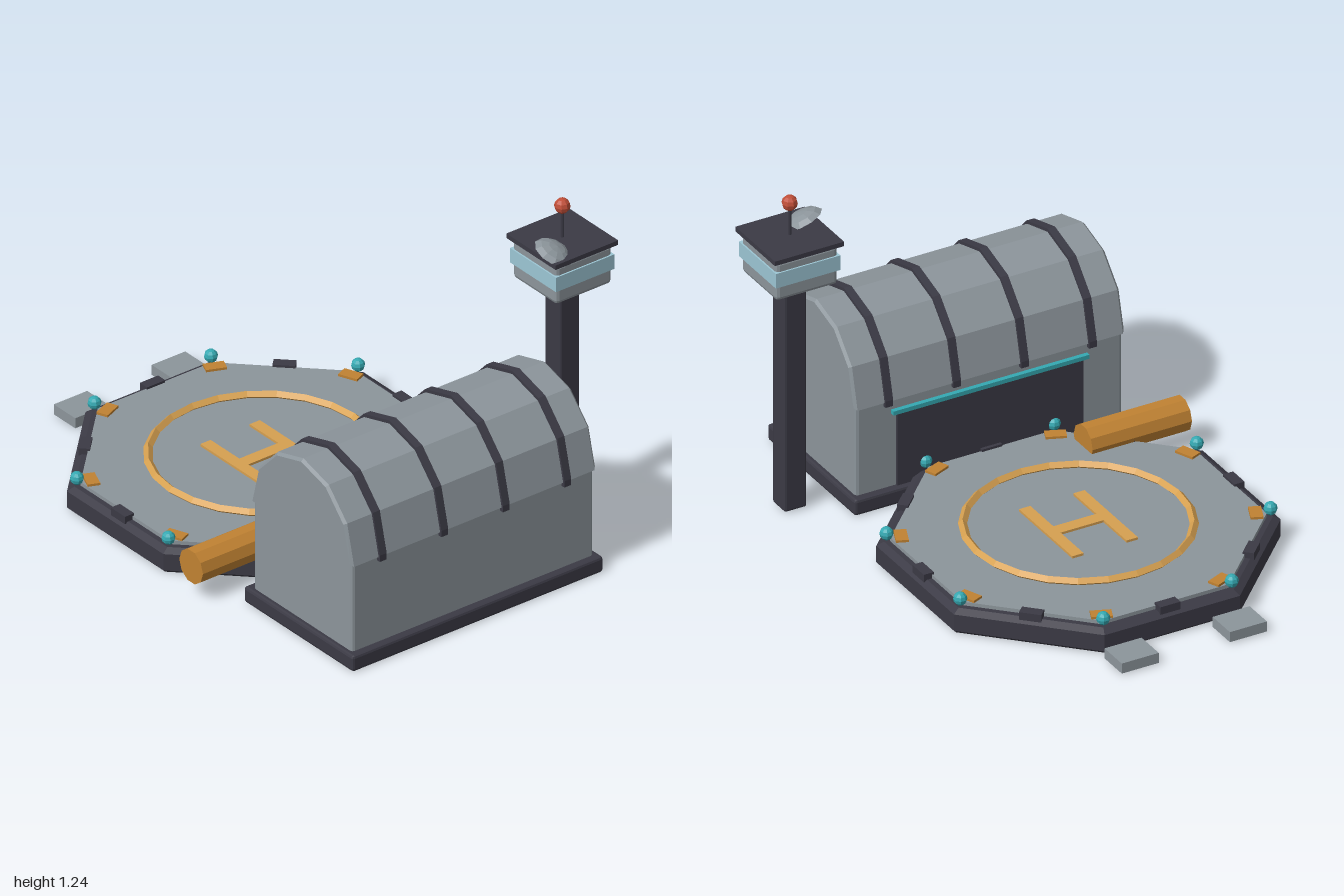
import * as THREE from 'three';
import { RoundedBoxGeometry } from 'three/addons/geometries/RoundedBoxGeometry.js';

const material = (name, color) => {
  const m = new THREE.MeshStandardMaterial({ color });
  m.name = name;
  return m;
};

export function createModel() {
  const grey = material('panelGrey', 0x8c959b);
  const dark = material('darkMetal', 0x3b3a45);
  const amber = material('markingAmber', 0xd6a050);
  const orange = material('tankOrange', 0xc08232);
  const teal = material('lightTeal', 0x35a9b2);
  const glass = material('windowBlue', 0x9cc6d4);
  const red = material('beaconRed', 0xc04e38);

  const model = new THREE.Group();
  model.name = 'landingBase';

  // Adds a faceted mesh to a parent
  const add = (parent, name, geometry, mat, x = 0, y = 0, z = 0) => {
    const g = geometry.index ? geometry.toNonIndexed() : geometry;
    g.computeVertexNormals();
    const mesh = new THREE.Mesh(g, mat);
    mesh.name = name;
    mesh.position.set(x, y, z);
    parent.add(mesh);
    return mesh;
  };
  const box = (w, h, d) => new THREE.BoxGeometry(w, h, d);
  const chamferBox = (w, h, d, r) => new RoundedBoxGeometry(w, h, d, 1, r);
  const ball = (r) => new THREE.SphereGeometry(r, 8, 6);
  const group = (name, x, z) => {
    const g = new THREE.Group();
    g.name = name;
    g.position.set(x, 0, z);
    model.add(g);
    return g;
  };

  // Octagonal landing pad
  const pad = group('landingPad', -0.085, -0.2);
  const corner = 1 / Math.cos(Math.PI / 8);
  const octagon = (points) => new THREE.LatheGeometry(
    points.map(([r, y]) => new THREE.Vector2(r * corner, y)), 8, Math.PI / 8);
  add(pad, 'padBody', octagon([[0, 0], [0.638, 0], [0.65, 0.012], [0.65, 0.077], [0.625, 0.092], [0, 0.092]]), dark);
  add(pad, 'padDeck', octagon([[0.605, 0.08], [0.605, 0.106], [0, 0.106]]), grey);

  // Ring and landing mark
  const ring = new THREE.TorusGeometry(0.4, 0.016, 4, 24);
  ring.rotateX(Math.PI / 2);
  add(pad, 'landingRing', ring, amber, 0, 0.115, 0);
  for (const s of [-1, 1]) add(pad, 'markPost', box(0.045, 0.009, 0.37), amber, s * 0.108, 0.1105, 0);
  add(pad, 'markBar', box(0.171, 0.009, 0.05), amber, 0, 0.1105, 0);

  // Corner lights, corner markers and edge clamps
  for (let i = 0; i < 8; i++) {
    const side = new THREE.Group();
    side.name = 'padCorner';
    side.rotation.y = (i + 0.5) * Math.PI / 4;
    pad.add(side);
    add(side, 'edgeLight', ball(0.025), teal, 0, 0.125, 0.668);
    add(side, 'cornerMarker', box(0.075, 0.009, 0.045), orange, 0, 0.1105, 0.617);
    const clamp = add(pad, 'edgeClamp', box(0.08, 0.03, 0.04), dark);
    const a = i * Math.PI / 4;
    clamp.position.set(Math.sin(a) * 0.618, 0.1, Math.cos(a) * 0.618);
    clamp.rotation.y = a;
  }

  // Steps behind the pad
  for (const x of [-0.302, 0.128]) add(model, 'step', box(0.147, 0.04, 0.12), grey, x, 0.025, -0.94);

  // Hangar base and walls
  const hangar = group('hangar', -0.085, 0.695);
  add(hangar, 'hangarBase', chamferBox(1.1, 0.062, 0.61, 0.01), dark, 0, 0.031, 0);
  add(hangar, 'hangarWalls', chamferBox(1.06, 0.4, 0.55, 0.012), grey, 0, 0.235, 0);

  // Six-sided arch profile, swept along x
  const arch = (rz, ry) => Array.from({ length: 7 }, (_, i) => {
    const a = i * Math.PI / 6;
    return new THREE.Vector2(rz * Math.cos(a), 0.415 + ry * Math.sin(a));
  });
  const sweep = (points, width, bevel = 0) => {
    const g = new THREE.ExtrudeGeometry(new THREE.Shape(points), {
      depth: width - 2 * bevel, bevelEnabled: bevel > 0,
      bevelSize: bevel, bevelThickness: bevel, bevelSegments: 1,
    });
    g.translate(0, 0, bevel - width / 2);
    return g.rotateY(Math.PI / 2);
  };
  add(hangar, 'hangarRoof', sweep(arch(0.272, 0.285), 1.075, 0.01), grey);

  // Roof ribs with short legs
  const legs = (rz, side) => new THREE.Vector2(rz * side, 0.39);
  const rib = [legs(0.29, 1), ...arch(0.29, 0.308), legs(0.29, -1),
    legs(0.26, -1), ...arch(0.26, 0.27).reverse(), legs(0.26, 1)];
  for (let i = 0; i < 4; i++) add(hangar, 'roofRib', sweep(rib, 0.03), dark, -0.405 + i * 0.27, 0, 0);

  // Hangar door facing the pad, with a light strip above
  add(hangar, 'hangarDoor', box(0.74, 0.29, 0.014), dark, 0, 0.205, -0.277);
  add(hangar, 'doorLight', box(0.78, 0.016, 0.02), teal, 0, 0.36, -0.283);

  // Fuel tank
  const tank = new THREE.CylinderGeometry(0.066, 0.066, 0.395, 10);
  tank.rotateZ(Math.PI / 2);
  add(model, 'fuelTank', tank, orange, -0.5635, 0.125, 0.257);

  // Control tower
  const tower = group('controlTower', 0.622, 0.57);
  add(tower, 'towerShaft', chamferBox(0.088, 0.91, 0.088, 0.008), dark, 0, 0.46, 0);
  add(tower, 'towerCab', chamferBox(0.245, 0.155, 0.245, 0.014), grey, 0, 0.99, 0);
  add(tower, 'cabWindows', box(0.257, 0.058, 0.257), glass, 0, 1, 0);
  add(tower, 'cabRoof', box(0.275, 0.018, 0.275), dark, 0, 1.077, 0);
  add(tower, 'antennaMast', new THREE.CylinderGeometry(0.006, 0.006, 0.11, 6), dark, 0, 1.135, 0);
  add(tower, 'beacon', ball(0.029), red, 0, 1.212, 0);

  // Tilted dish on the tower roof
  const dishProfile = [[0, 0], [0.075, 0], [0.058, 0.017], [0.032, 0.027], [0, 0.031]];
  const dish = add(tower, 'dish', new THREE.LatheGeometry(
    dishProfile.map(([r, y]) => new THREE.Vector2(r, y)), 10), grey, -0.09, 1.086, 0.066);
  dish.quaternion.setFromUnitVectors(new THREE.Vector3(0, 1, 0),
    new THREE.Vector3(0.33, 0.88, 0.33).normalize());

  return model;
}
